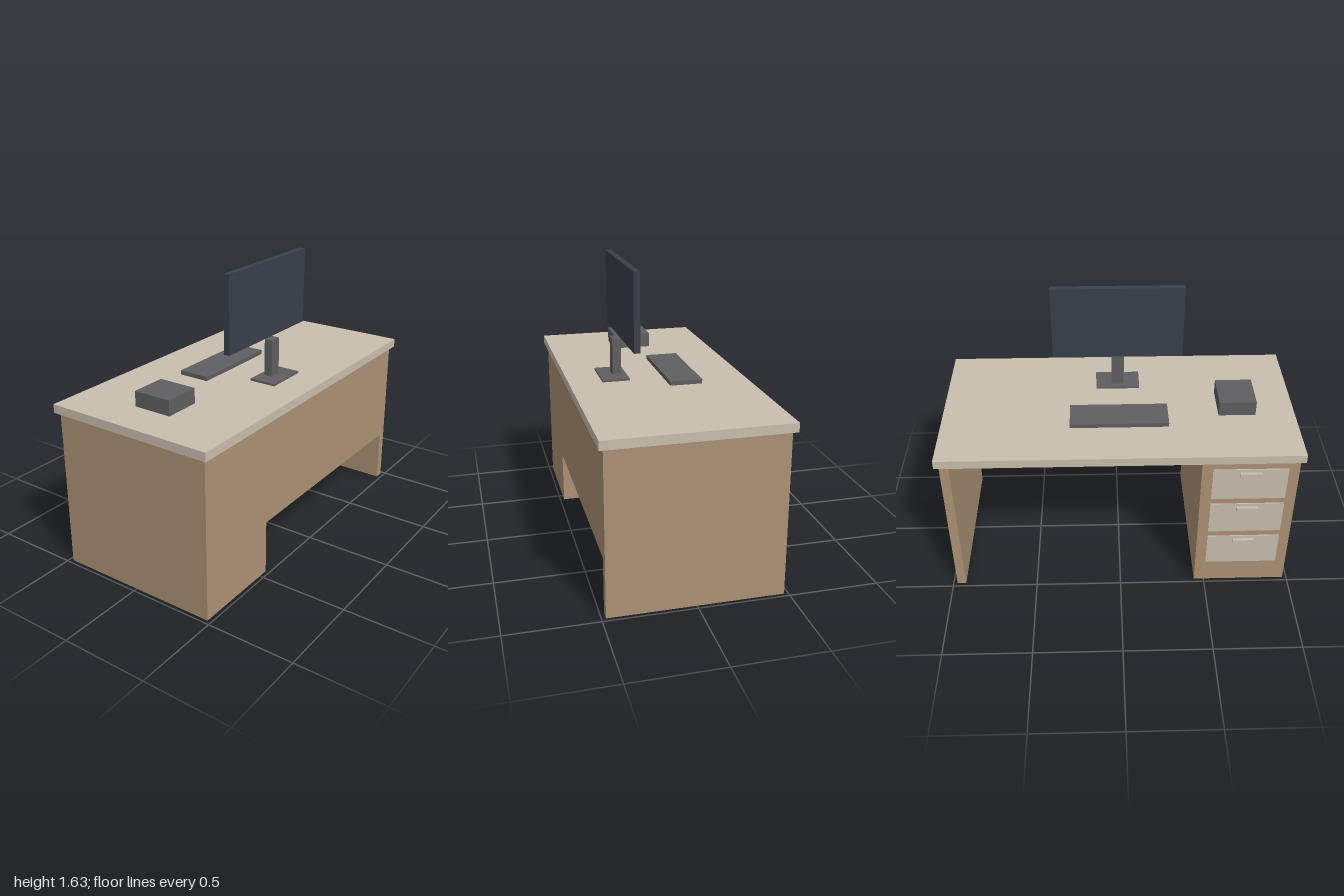
import * as THREE from 'three';

const material = (name, color) => {
  const m = new THREE.MeshStandardMaterial({ color });
  m.name = name;
  return m;
};

export function createModel() {
  const wood = material('wood', 0xac9274);
  const laminate = material('pale laminate', 0xcabfb0);
  const plastic = material('grey plastic', 0x5f5f61);
  const glass = material('dark screen', 0x3a404a);

  const desk = new THREE.Group();
  desk.name = 'desk';

  // Box given by its extents along each axis
  const box = (name, mat, [x0, x1], [y0, y1], [z0, z1], parent = desk) => {
    const mesh = new THREE.Mesh(new THREE.BoxGeometry(x1 - x0, y1 - y0, z1 - z0), mat);
    mesh.position.set((x0 + x1) / 2, (y0 + y1) / 2, (z0 + z1) / 2);
    mesh.name = name;
    parent.add(mesh);
    return mesh;
  };

  // Desk body
  const top = 0.965, under = 0.915, depth = [-0.477, 0.477];
  box('tabletop', laminate, [-1, 1], [under, top], [-0.5, 0.5]);
  box('pedestal', wood, [-0.977, -0.442], [0, under], depth);
  box('sideLeg', wood, [0.925, 0.977], [0, under], depth);
  box('modestyPanel', wood, [-0.442, 0.925], [0.312, under], [0.427, 0.477]);

  // Drawers with bar handles on the seated side
  for (let i = 0; i < 3; i++) {
    const y = 0.65 - i * 0.25;
    const drawer = new THREE.Group();
    drawer.name = `drawer${i + 1}`;
    desk.add(drawer);
    box('drawerFront', laminate, [-0.917, -0.502], [y, y + 0.21], [-0.483, -0.477], drawer);
    box('drawerHandle', laminate, [-0.77, -0.65], [y + 0.165, y + 0.19], [-0.5, -0.483], drawer);
  }

  // Monitor
  const monitor = new THREE.Group();
  monitor.name = 'monitor';
  desk.add(monitor);
  box('monitorBase', plastic, [-0.127, 0.127], [top, 0.977], [0.155, 0.312], monitor);
  box('monitorNeck', plastic, [-0.036, 0.036], [0.977, 1.19], [0.187, 0.236], monitor);
  box('monitorScreen', glass, [-0.373, 0.373], [1.19, 1.628], [0.152, 0.187], monitor);

  // Desk items
  box('keyboard', plastic, [-0.277, 0.277], [top, 0.99], [-0.225, -0.04]);
  box('deskBox', plastic, [-0.775, -0.565], [top, 1.052], [-0.127, 0.1]);

  return desk;
}
